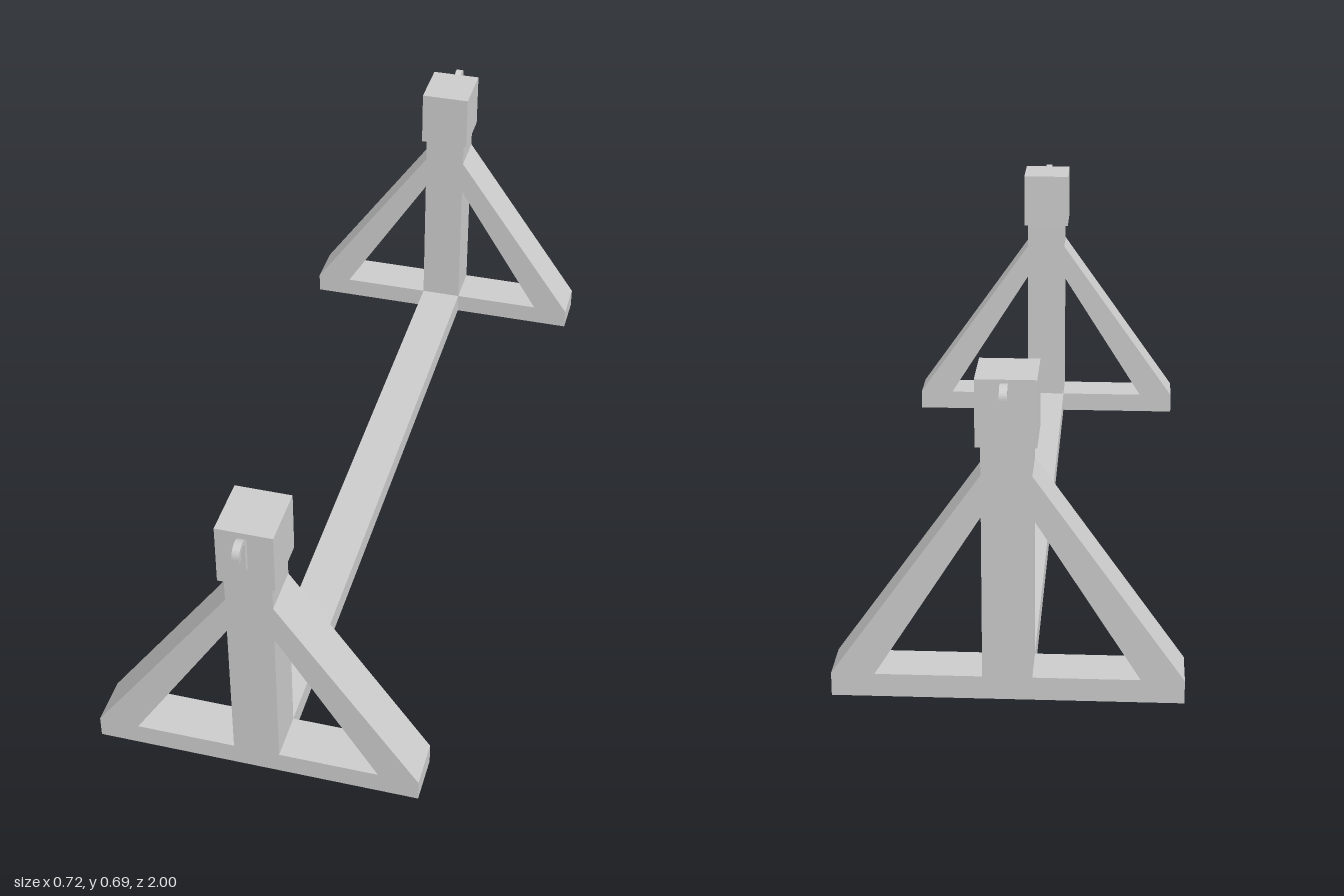
import * as THREE from 'three';

const material = new THREE.MeshStandardMaterial({ color: 0xcccccc, flatShading: true });

function addMesh(parent, geometry, name, x = 0, y = 0, z = 0) {
  const mesh = new THREE.Mesh(geometry, material);
  mesh.name = name;
  mesh.position.set(x, y, z);
  parent.add(mesh);
  return mesh;
}

const toPoints = (pairs) => pairs.map(([x, y]) => new THREE.Vector2(x, y));

// Braced A-frame: foot, centre post and two diagonal struts around triangular openings
function frameGeometry(depth) {
  const half = [[0.36, 0], [0.36, 0.05], [0.051, 0.488], [0.051, 0.56]];
  const mirrored = half.map(([x, y]) => [-x, y]).reverse();
  const shape = new THREE.Shape(toPoints([...half, ...mirrored]));
  for (const s of [1, -1]) {
    shape.holes.push(new THREE.Path(toPoints([[s * 0.051, 0.05], [s * 0.271, 0.05], [s * 0.051, 0.4]])));
  }
  return new THREE.ExtrudeGeometry(shape, { depth, bevelEnabled: false });
}

// Flat-band hook: shank against the block, curled outward and down to a short tip
function hookGeometry(width) {
  const outer = 0.025, inner = 0.012, springY = 0.665;
  const shape = new THREE.Shape();
  shape.moveTo(0, 0.602);
  shape.lineTo(outer - inner, 0.602);
  shape.lineTo(outer - inner, springY);
  shape.absarc(outer, springY, inner, Math.PI, 0, true);
  shape.lineTo(outer + inner, 0.656);
  shape.lineTo(2 * outer, 0.656);
  shape.lineTo(2 * outer, springY);
  shape.absarc(outer, springY, outer, 0, Math.PI, false);
  shape.closePath();
  const geometry = new THREE.ExtrudeGeometry(shape, { depth: width, bevelEnabled: false, curveSegments: 8 });
  geometry.translate(0, 0, -width / 2);
  geometry.rotateY(-Math.PI / 2);
  return geometry;
}

function createStand(name) {
  const stand = new THREE.Group();
  stand.name = name;
  addMesh(stand, frameGeometry(0.108), 'bracedFrame', 0, 0, 0.831);
  addMesh(stand, new THREE.BoxGeometry(0.122, 0.14, 0.134), 'topBlock', 0, 0.621, 0.884);
  addMesh(stand, hookGeometry(0.016), 'hook', -0.002, 0, 0.95);
  return stand;
}

export function createModel() {
  const model = new THREE.Group();
  model.name = 'hookStand';

  // Matching end stands facing away from each other
  const front = createStand('frontStand');
  const back = createStand('backStand');
  back.rotation.y = Math.PI;
  model.add(front, back);

  // Floor beam joining the stands
  addMesh(model, new THREE.BoxGeometry(0.102, 0.05, 1.662), 'floorBeam', 0, 0.025, 0);
  return model;
}
